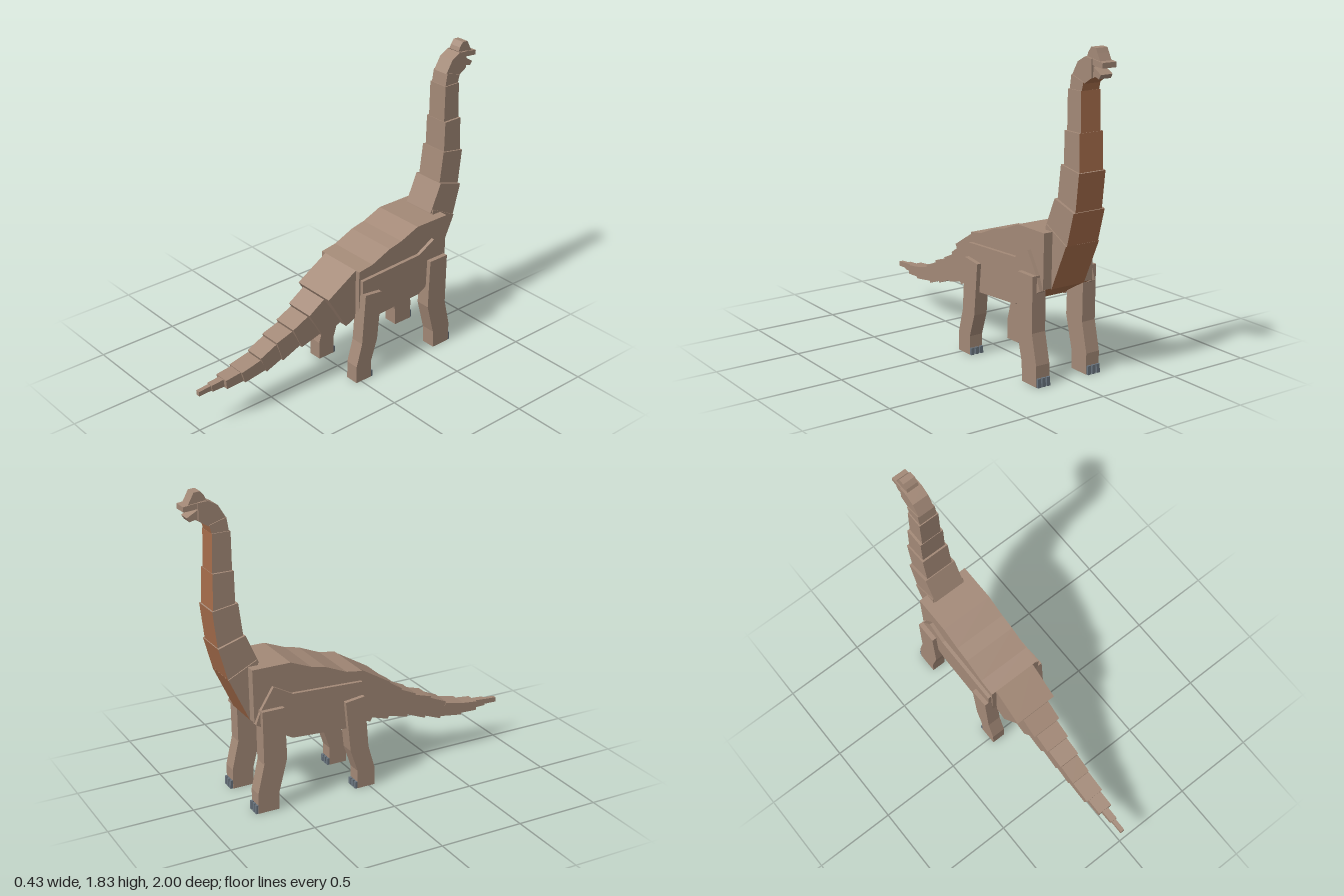
import * as THREE from 'three';

const hide = new THREE.MeshStandardMaterial({ color: 0xa38977 });
hide.name = 'brown hide';
const belly = new THREE.MeshStandardMaterial({ color: 0xa66d4b });
belly.name = 'rust underside';
const horn = new THREE.MeshStandardMaterial({ color: 0x68737d });
horn.name = 'grey claw';

// Prism across x from a [z, y] outline, anticlockwise seen from +x.
// The first `under` edges take the underside colour.
function prism(name, outline, x0, x1, under = 0, mat = hide) {
  const pos = [];
  const put = (i, x) => {
    const [z, y] = outline[i % outline.length];
    pos.push(x, y, z);
  };
  outline.forEach((_, i) => {
    put(i, x1); put(i, x0); put(i + 1, x0);
    put(i, x1); put(i + 1, x0); put(i + 1, x1);
  });
  const flat = outline.map(([z, y]) => new THREE.Vector2(-z, y));
  for (const [a, b, c] of THREE.ShapeUtils.triangulateShape(flat, [])) {
    put(a, x1); put(b, x1); put(c, x1);
    put(a, x0); put(c, x0); put(b, x0);
  }
  const g = new THREE.BufferGeometry();
  g.setAttribute('position', new THREE.Float32BufferAttribute(pos, 3));
  g.computeVertexNormals();
  if (under) {
    g.addGroup(0, under * 6, 1);
    g.addGroup(under * 6, pos.length / 3 - under * 6, 0);
  }
  const mesh = new THREE.Mesh(g, under ? [mat, belly] : mat);
  mesh.name = name;
  return mesh;
}

export function createModel() {
  const model = new THREE.Group();
  model.name = 'longNeckedDinosaur';

  // Torso
  model.add(prism('body', [
    [-0.02, 0.39], [-0.13, 0.385], [-0.47, 0.405], [-0.69, 0.53],
    [-0.695, 0.84], [-0.465, 0.84], [-0.34, 0.79], [-0.25, 0.77], [-0.12, 0.715], [-0.02, 0.70],
  ], -0.165, 0.165, 3));

  // Tail: joints as [topZ, topY, bottomZ, bottomY], then half widths
  const joints = [
    [-0.02, 0.70, -0.02, 0.39], [0.18, 0.58, 0.05, 0.36], [0.285, 0.50, 0.19, 0.33],
    [0.39, 0.44, 0.33, 0.305], [0.50, 0.395, 0.46, 0.265], [0.61, 0.335, 0.57, 0.235],
    [0.74, 0.295, 0.72, 0.225], [0.84, 0.28, 0.835, 0.225], [0.92, 0.27, 0.915, 0.23],
    [1, 0.26, 1, 0.232],
  ];
  const tailWidths = [0.135, 0.093, 0.077, 0.067, 0.061, 0.058, 0.045, 0.021, 0.013];
  const tail = new THREE.Group();
  tail.name = 'tail';
  tailWidths.forEach((w, i) => {
    const [tz, ty, bz, by] = joints[i], [uz, uy, cz, cy] = joints[i + 1];
    const step = i === 0 ? 0 : i < 6 ? 0.012 : 0.004;
    tail.add(prism('tailSegment', [[cz, cy], [bz, by + step], [tz, ty - step], [uz, uy]], -w, w));
  });
  model.add(tail);

  // Neck: front low, front high, back high, back low, half width
  const neck = new THREE.Group();
  neck.name = 'neck';
  [
    [[-0.69, 0.525], [-0.81, 0.785], [-0.64, 0.87], [-0.58, 0.62], 0.11],
    [[-0.808, 0.78], [-0.86, 0.97], [-0.70, 1.02], [-0.625, 0.85], 0.103],
    [[-0.855, 0.965], [-0.88, 1.18], [-0.73, 1.205], [-0.705, 1.01], 0.087],
    [[-0.872, 1.175], [-0.865, 1.385], [-0.745, 1.385], [-0.742, 1.19], 0.077],
    [[-0.862, 1.38], [-0.855, 1.6], [-0.75, 1.6], [-0.748, 1.38], 0.063],
    [[-0.853, 1.595], [-0.865, 1.645], [-0.768, 1.675], [-0.755, 1.595], 0.056],
  ].forEach(([a, b, c, d, w]) => neck.add(prism('neckSegment', [a, b, c, d], -w, w, 1)));
  model.add(neck);

  // Head
  const head = new THREE.Group();
  head.name = 'head';
  head.add(
    prism('skull', [[-0.86, 1.635], [-0.92, 1.672], [-0.92, 1.735], [-0.92, 1.77],
      [-0.865, 1.775], [-0.81, 1.745], [-0.765, 1.67]], -0.05, 0.05, 1),
    prism('snout', [[-0.89, 1.745], [-0.94, 1.735], [-1, 1.73], [-1, 1.758], [-0.865, 1.778]], -0.044, 0.044),
    prism('crest', [[-0.865, 1.765], [-0.975, 1.755], [-0.95, 1.80], [-0.937, 1.825],
      [-0.90, 1.828], [-0.878, 1.80]], -0.037, 0.037),
    prism('jaw', [[-0.89, 1.655], [-0.935, 1.68], [-0.965, 1.672], [-0.98, 1.695],
      [-0.92, 1.73], [-0.89, 1.72]], -0.038, 0.038, 1));
  model.add(head);

  // Flank plates, legs and claws on both sides
  const frontLeg = [[-0.575, 0], [-0.70, 0], [-0.70, 0.12], [-0.66, 0.29], [-0.663, 0.605],
    [-0.53, 0.605], [-0.52, 0.30], [-0.57, 0.11]];
  const hindLeg = [[0.035, 0], [-0.075, 0], [-0.075, 0.11], [-0.12, 0.245], [-0.15, 0.55],
    [-0.03, 0.565], [-0.005, 0.25], [0.035, 0.11]];
  for (const s of [-1, 1]) {
    const side = s > 0 ? 'Left' : 'Right';
    const add = (name, outline, a, b, mat) =>
      model.add(prism(name + side, outline, Math.min(s * a, s * b), Math.max(s * a, s * b), 0, mat));
    add('flank', [[-0.03, 0.385], [-0.13, 0.38], [-0.47, 0.40], [-0.69, 0.525], [-0.66, 0.60],
      [-0.58, 0.727], [-0.465, 0.663], [-0.03, 0.645]], 0.15, 0.186);
    add('frontLeg', frontLeg, 0.126, 0.214);
    add('hindLeg', hindLeg, 0.128, 0.212);
    for (let i = 0; i < 3; i++) {
      const x = 0.13 + i * 0.03;
      add('frontClaw', [[-0.69, 0], [-0.715, 0], [-0.713, 0.05], [-0.69, 0.05]], x, x + 0.021, horn);
      add('hindClaw', [[-0.065, 0], [-0.09, 0], [-0.088, 0.04], [-0.065, 0.04]], x, x + 0.021, horn);
    }
  }
  return model;
}
